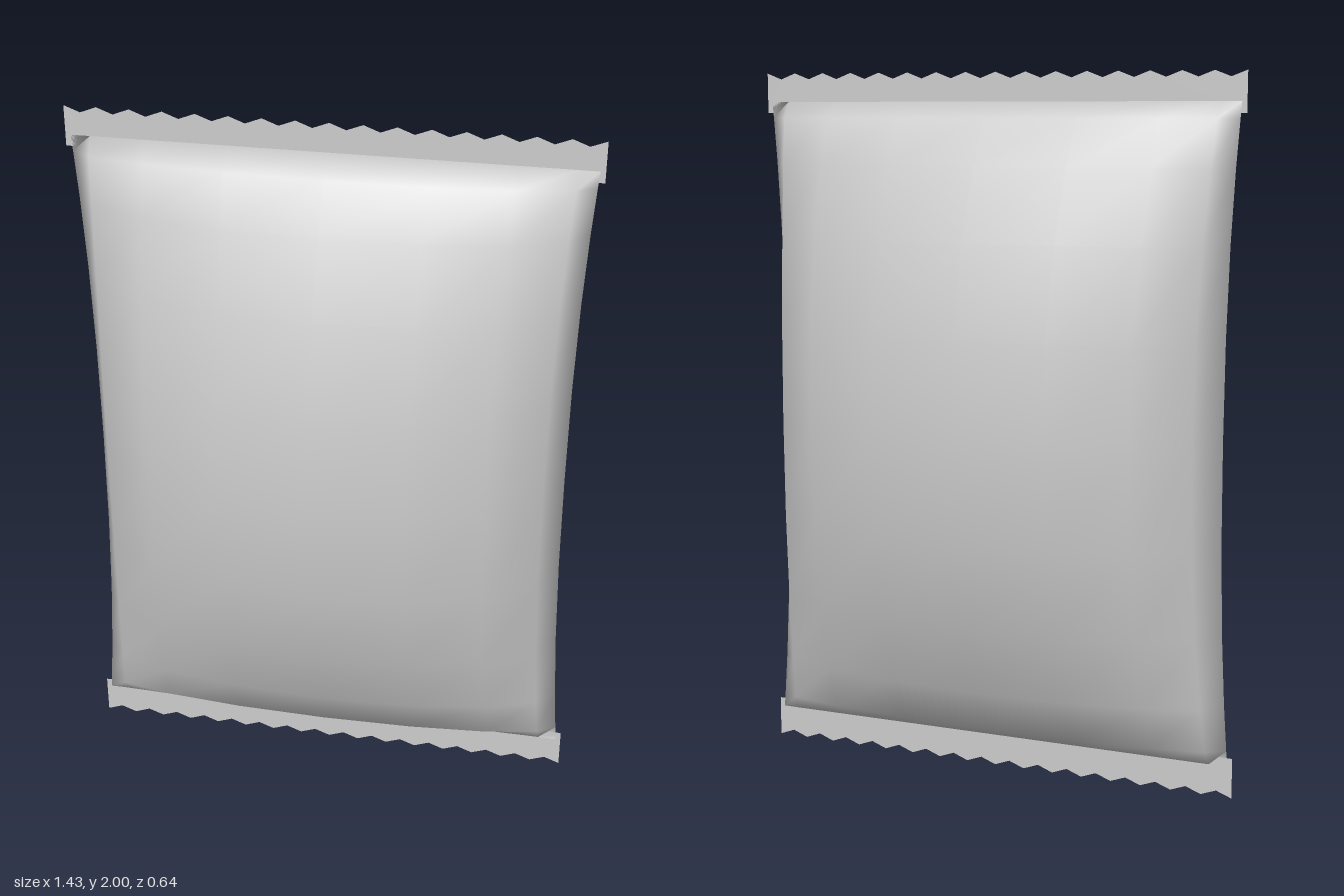
import * as THREE from 'three';
import { mergeVertices } from 'three/addons/utils/BufferGeometryUtils.js';

const foil = new THREE.MeshStandardMaterial({ color: 0xcccccc, side: THREE.DoubleSide });
foil.name = 'foilGrey';

const MID = 1.005, HALF = 0.914;            // centre and half height of the bag
const DEPTH = [0.32, 0.302, 0.24, 0.158, 0.086, 0]; // half depth, middle to seam

// Puffed body: elliptical rings that flatten into a straight seam at both ends
function makePillow() {
  const rings = 10;
  const geo = new THREE.CylinderGeometry(1, 1, 2, 16, rings, true);
  const p = geo.attributes.position;
  for (let i = 0; i < p.count; i++) {
    const k = Math.round((p.getY(i) * rings) / 2);      // -5 .. 5
    const t = Math.sin((k * Math.PI) / rings);
    const halfWidth = 0.668 + 0.032 * Math.pow(Math.abs(t), 2.4);
    p.setXYZ(i, p.getX(i) * halfWidth, MID + t * HALF, p.getZ(i) * DEPTH[Math.abs(k)]);
  }
  // Weld everything so the shading runs smoothly over the seams
  geo.deleteAttribute('uv');
  geo.deleteAttribute('normal');
  const welded = mergeVertices(geo, 1e-4);
  welded.computeVertexNormals();
  const mesh = new THREE.Mesh(welded, foil);
  mesh.name = 'pillowBody';
  return mesh;
}

// Flat crimped strip with a zigzag outer edge
function makeSeal(name, inner, outer) {
  const w = 0.714, teeth = 16, bite = Math.sign(outer - inner) * 0.017;
  const shape = new THREE.Shape();
  shape.moveTo(-w, inner);
  for (let i = 0; i <= teeth * 2; i++) {
    shape.lineTo(-w + (i * w) / teeth, i % 2 ? outer - bite : outer);
  }
  shape.lineTo(w, inner);
  shape.closePath();
  const mesh = new THREE.Mesh(new THREE.ShapeGeometry(shape), foil);
  mesh.name = name;
  return mesh;
}

export function createModel() {
  const bag = new THREE.Group();
  bag.name = 'pillowBag';
  bag.add(makePillow(), makeSeal('topSeal', 1.888, 2), makeSeal('bottomSeal', 0.116, 0));
  return bag;
}
